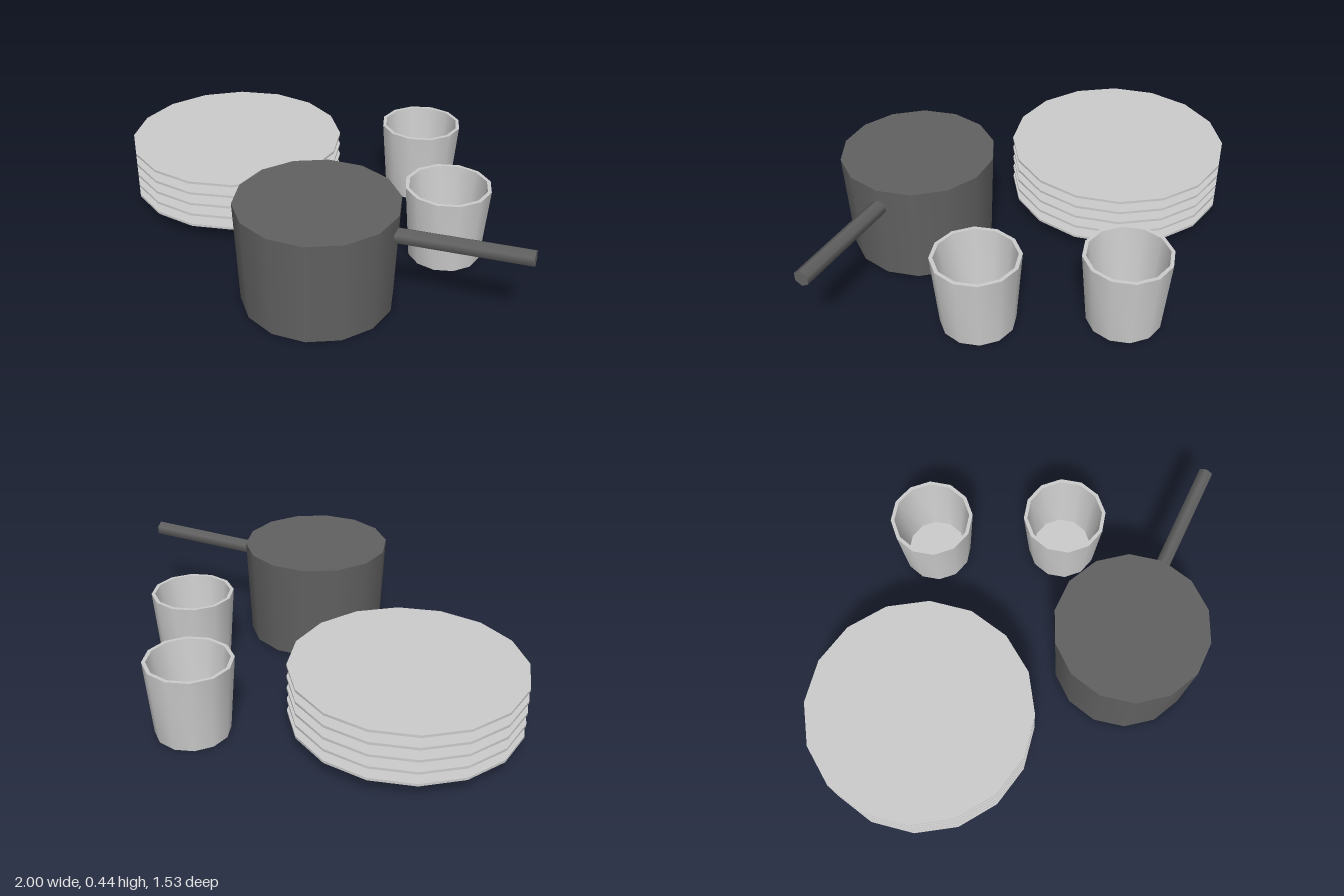
import * as THREE from 'three';
import { toCreasedNormals } from 'three/addons/utils/BufferGeometryUtils.js';

const grey = new THREE.MeshStandardMaterial({ color: 0xcccccc });
const dark = new THREE.MeshStandardMaterial({ color: 0x616161 });

// Tapered solid standing on y = 0, with a corner pointing along +x
function tapered(name, rTop, rBottom, height, sides, material) {
  const geometry = new THREE.CylinderGeometry(rTop, rBottom, height, sides, 1, false, Math.PI / 2);
  geometry.translate(0, height / 2, 0);
  const mesh = new THREE.Mesh(geometry, material);
  mesh.name = name;
  return mesh;
}

// Shallow plate: sloping underside and a thin upright rim
function makePlate() {
  const plate = new THREE.Group();
  plate.name = 'plate';
  const rim = tapered('plateRim', 0.487, 0.487, 0.011, 16, grey);
  rim.position.y = 0.068;
  plate.add(tapered('plateBody', 0.487, 0.27, 0.068, 16, grey), rim);
  return plate;
}

// Hollow tumbler: outer wall, flat lip, inner wall and floor
function makeCup() {
  const profile = [[0, 0], [0.157, 0], [0.184, 0.333], [0.168, 0.333], [0.133, 0.03], [0, 0.03]]
    .map(([r, y]) => new THREE.Vector2(r, y));
  const geometry = toCreasedNormals(new THREE.LatheGeometry(profile, 12), Math.PI / 4);
  const cup = new THREE.Mesh(geometry, grey);
  cup.name = 'cup';
  return cup;
}

// Saucepan with a flat top and a six-sided handle that rises slightly
function makePan() {
  const pan = new THREE.Group();
  pan.name = 'saucepan';
  pan.add(tapered('panBody', 0.331, 0.313, 0.445, 14, dark));

  const geometry = new THREE.CylinderGeometry(0.034, 0.034, 0.56, 6);
  geometry.rotateY(Math.PI / 6).rotateZ(-Math.PI / 2);
  const handle = new THREE.Mesh(geometry, dark);
  handle.name = 'panHandle';
  handle.position.set(0.566, 0.369, 0);
  handle.rotation.z = 0.042;
  pan.add(handle);
  return pan;
}

export function createModel() {
  const model = new THREE.Group();
  model.name = 'kitchenware';

  // Stack of nested plates
  const stack = new THREE.Group();
  stack.name = 'plateStack';
  for (let i = 0; i < 5; i++) {
    const plate = makePlate();
    plate.position.y = i * 0.054;
    stack.add(plate);
  }
  stack.position.set(-0.513, 0, -0.227);
  model.add(stack);

  // Two cups
  for (const [x, z] of [[0.285, -0.581], [0.554, -0.049]]) {
    const cup = makeCup();
    cup.position.set(x, 0, z);
    model.add(cup);
  }

  const pan = makePan();
  pan.position.set(0.153, 0, 0.441);
  model.add(pan);
  return model;
}
